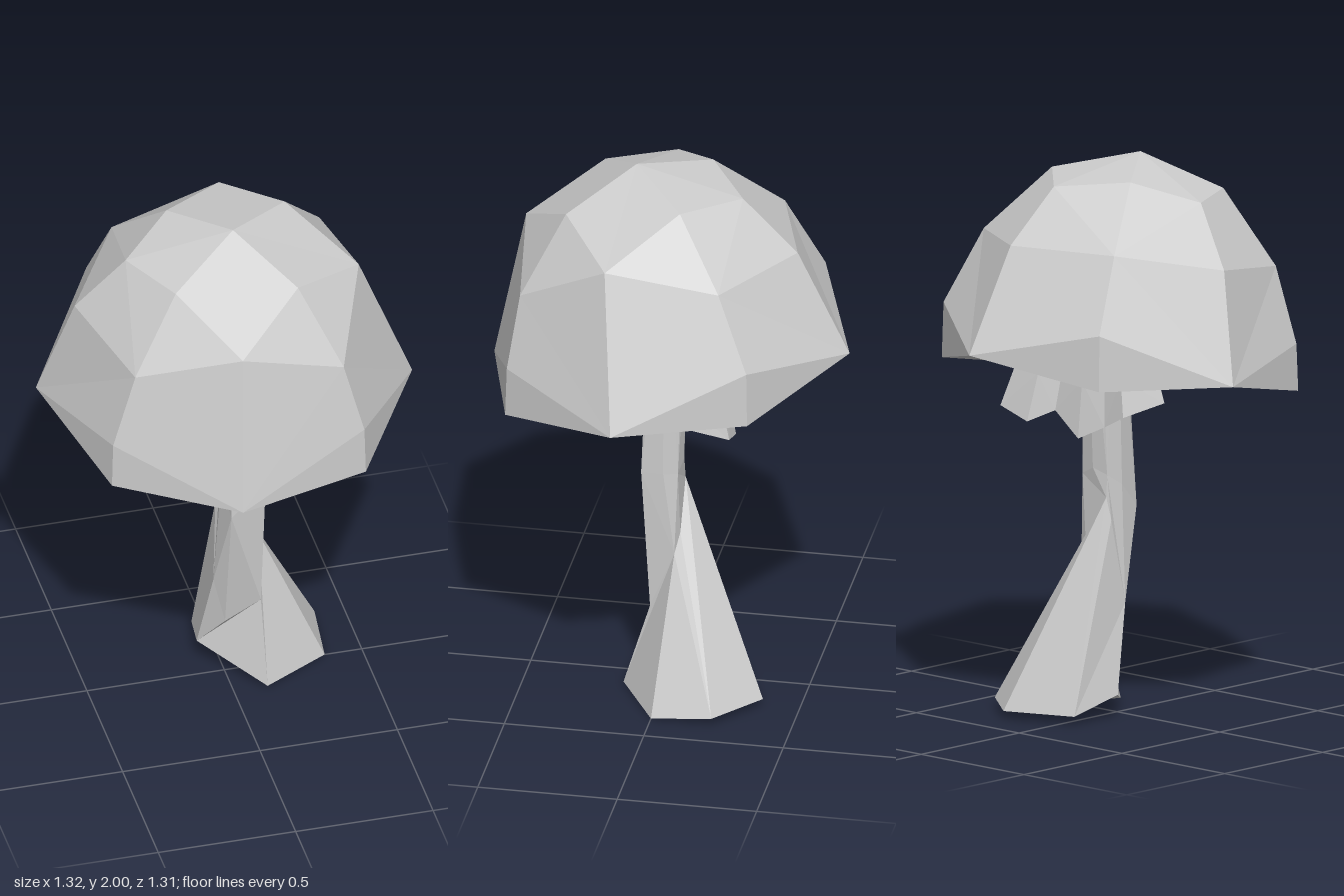
import * as THREE from 'three';

const grey = new THREE.MeshStandardMaterial({ color: 0xcccccc, flatShading: true });
grey.name = 'pale grey';

// Faceted skin through rings of equal length, listed from the inner/lower end outward.
// Diagonals alternate around each row; flipRow names the row that starts the other way.
function loft(name, rings, flipRow) {
  const pos = [];
  const tri = (a, b, c) => {
    if (a !== b && b !== c && a !== c) pos.push(...a, ...b, ...c);
  };
  for (let i = 0; i < rings.length - 1; i++) {
    const lo = rings[i], hi = rings[i + 1], n = lo.length;
    const shift = i === flipRow ? 1 : 0;
    for (let j = 0; j < n; j++) {
      const k = (j + 1) % n;
      if ((j + shift) % 2) {
        tri(lo[j], lo[k], hi[j]);
        tri(lo[k], hi[k], hi[j]);
      } else {
        tri(lo[j], lo[k], hi[k]);
        tri(lo[j], hi[k], hi[j]);
      }
    }
  }
  const geo = new THREE.BufferGeometry();
  geo.setAttribute('position', new THREE.Float32BufferAttribute(pos, 3));
  geo.computeVertexNormals();
  const mesh = new THREE.Mesh(geo, grey);
  mesh.name = name;
  return mesh;
}

const point = (p, n) => Array.from({ length: n }, () => p);

// Cap: eight-sided dome with a hollow underside
function makeCap() {
  const rim = [
    [-0.10, 1.16, 0.65], [0.38, 1.16, 0.52], [0.66, 1.25, 0.09], [0.50, 1.26, -0.37],
    [0.09, 1.37, -0.66], [-0.38, 1.28, -0.49], [-0.66, 1.28, -0.10], [-0.51, 1.17, 0.39]];
  const crown = [
    [-0.07, 1.73, 0.53], [0.18, 1.87, 0.34], [0.45, 1.79, 0.15], [0.24, 1.94, -0.08],
    [0.05, 1.925, -0.27], [-0.18, 1.95, -0.12], [-0.37, 1.88, 0.04], [-0.25, 1.88, 0.28]];
  // the front and right panels run from crown to rim in one piece
  const middle = [
    crown[0], [0.31, 1.60, 0.48], crown[2], [0.41, 1.72, -0.25],
    [0.07, 1.74, -0.47], [-0.32, 1.74, -0.35], [-0.54, 1.67, -0.02], [-0.42, 1.61, 0.37]];
  // lower band exists only on odd columns
  const bandY = { 1: 1.34, 3: 1.46, 5: 1.48, 7: 1.34 };
  const band = rim.map((p, j) => (j % 2 ? [p[0] * 0.99, bandY[j], p[2] * 0.99] : p));
  // rim drawn inward, its tilt reduced
  const inset = (s, y, tilt) => rim.map((p) => [p[0] * s, y + (p[1] - 1.24) * tilt, p[2] * s]);
  return loft('cap', [
    point([0, 1.73, 0.05], 8), inset(0.46, 1.6, 0.5), inset(0.73, 1.24, 0.65),
    rim, band, middle, crown, point([0, 2, 0.12], 8)], 5);
}

// Stem: twisted shaft flaring into a wide, off-centre foot
function makeStem() {
  const heel = [-0.08, 0.085, -0.08];
  const foot = [
    [0.12, 0.01, 0.145], [0.365, 0, 0], [0.385, 0.03, -0.22], [0.2, 0.03, -0.37],
    [-0.05, 0.03, -0.27], heel, heel];
  const waist = [
    [0.12, 0.32, 0.05], [0.135, 0.54, -0.04], [0.1, 0.61, -0.055], [0, 0.78, -0.055],
    [-0.02, 0.7, -0.05], [-0.04, 0.4, 0], [0, 0.22, 0.01]];
  const shaft = [
    [0.13, 0.85, 0.08], [0.135, 0.85, 0], [0.12, 0.85, -0.05], [0.06, 0.88, -0.06],
    [0, 0.86, -0.05], [-0.015, 0.82, 0.01], [0, 0.73, 0.1]];
  const top = [
    [0.1, 1.7, 0.05], [0.125, 1.7, 0], [0.11, 1.7, -0.07], [0.07, 1.7, -0.09],
    [0.02, 1.7, -0.07], [0, 1.7, 0], [0.03, 1.7, 0.05]];
  return loft('stem', [point([0.15, 0.03, -0.1], 7), foot, waist, shaft, top], 2);
}

// Skirt: crumpled collar under the cap, drooping to the back
function makeSkirt() {
  const hem = [
    [0.05, 1.17, 0.28], [0.2, 1.1, 0.17], [0.33, 1.14, 0.14], [0.28, 1.12, -0.06],
    [0.31, 1.1, -0.27], [0.18, 1.06, -0.27], [0.11, 1.1, -0.2], [-0.02, 1.02, -0.22],
    [-0.12, 1.07, -0.19], [-0.22, 1.12, -0.2], [-0.25, 1.15, -0.02], [-0.13, 1.17, 0.08],
    [-0.14, 1.15, 0.22]];
  // copy of the hem drawn in towards the stem, its drop flattened by keep
  const ring = (s, y, keep) => hem.map(([hx, hy, hz]) => [
    0.05 + (hx - 0.05) * s, y + (hy - 1.12) * keep, hz * s]);
  return loft('skirt', [
    ring(0.25, 1.3, 0), ring(0.75, 1.17, 0.8), hem, ring(0.86, 1.25, 0.3), ring(0.25, 1.65, 0)]);
}

export function createModel() {
  const group = new THREE.Group();
  group.name = 'mushroom';
  group.add(makeCap(), makeStem(), makeSkirt());
  return group;
}
